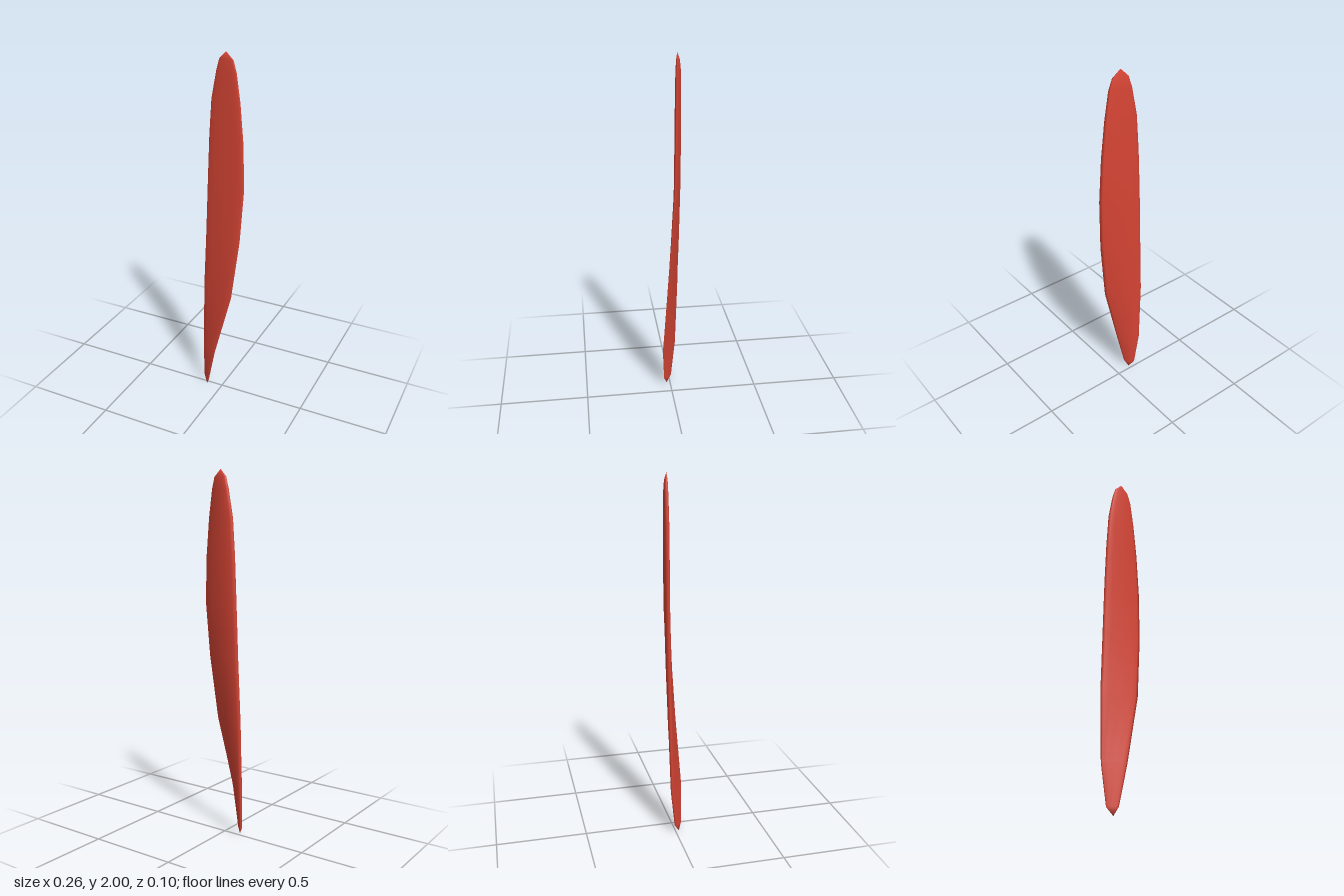
import * as THREE from 'three';
import { mergeVertices } from 'three/addons/utils/BufferGeometryUtils.js';

// Blade stations: height, leading edge x z, trailing edge x z, thickness
const stations = [
  [0.005, -0.09, 0.02, -0.09, 0.02, 0],
  [0.05, -0.115, -0.005, -0.07, 0.038, 0.018],
  [0.27, -0.13, -0.028, -0.022, 0.05, 0.027],
  [0.65, -0.128, -0.037, 0.073, 0.036, 0.031],
  [1.0, -0.113, -0.04, 0.113, 0.017, 0.032],
  [1.3, -0.102, -0.041, 0.128, 0.0, 0.032],
  [1.55, -0.091, -0.04, 0.117, -0.006, 0.032],
  [1.75, -0.077, -0.039, 0.097, -0.01, 0.03],
  [1.9, -0.048, -0.037, 0.074, -0.013, 0.026],
  [1.96, -0.03, -0.033, 0.055, -0.018, 0.018],
  [2.0, 0.01, -0.025, 0.01, -0.025, 0],
];

// Airfoil outline: position along the chord, offset as a share of thickness
const airfoil = [
  [0, 0.1], [0.04, 0.26], [0.2, 0.34], [0.5, 0.36], [0.8, 0.27], [0.93, 0.15], [1, 0],
  [0.93, -0.18], [0.75, -0.46], [0.5, -0.63], [0.25, -0.66], [0.06, -0.45], [0, -0.22],
];

// Loft the airfoil through all stations, twisting with the chord
function loftBlade() {
  const positions = [];
  const indices = [];
  const n = airfoil.length;
  for (const [y, lx, lz, tx, tz, thick] of stations) {
    const dx = tx - lx, dz = tz - lz;
    const len = Math.hypot(dx, dz) || 1;
    for (const [t, k] of airfoil) {
      positions.push(lx + dx * t - (dz / len) * k * thick, y, lz + dz * t + (dx / len) * k * thick);
    }
  }
  const last = stations.length - 2;
  for (let i = 0; i <= last; i++) {
    for (let j = 0; j < n; j++) {
      const a = i * n + j, b = i * n + ((j + 1) % n);
      if (i > 0) indices.push(a, b, b + n);
      if (i < last) indices.push(a, b + n, a + n);
      // the tips close as fans
      if (i === 0) indices.push(a, b + n, a + n);
      if (i === last) indices.push(a, b, a + n);
    }
  }
  // drop the doubled tip faces
  const seen = new Set();
  const faces = [];
  for (let f = 0; f < indices.length; f += 3) {
    const face = indices.slice(f, f + 3);
    const key = face.map((v) => (v < n ? 0 : v >= (last + 1) * n ? (last + 1) * n : v)).join();
    if (!seen.has(key)) faces.push(...face);
    seen.add(key);
  }
  const geometry = new THREE.BufferGeometry();
  geometry.setAttribute('position', new THREE.Float32BufferAttribute(positions, 3));
  geometry.setIndex(faces);
  const merged = mergeVertices(geometry, 1e-5);
  merged.computeVertexNormals();
  return merged;
}

export function createModel() {
  const group = new THREE.Group();
  group.name = 'propellerBlade';
  const material = new THREE.MeshStandardMaterial({ color: 0xd84535 });
  const blade = new THREE.Mesh(loftBlade(), material);
  blade.name = 'blade';
  group.add(blade);
  return group;
}
